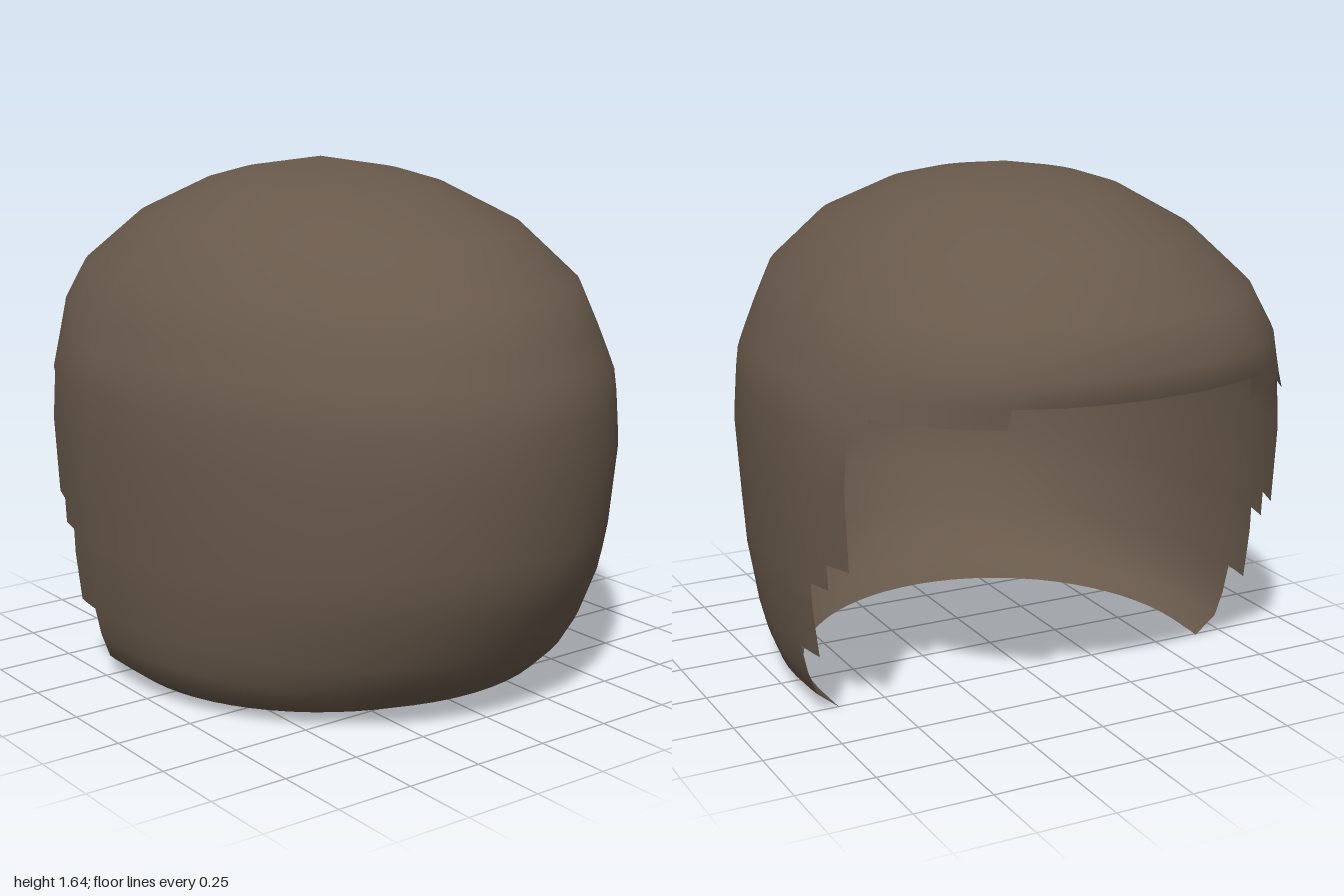
import * as THREE from 'three';

// Cross-sections from hem to crown: height, half width, forward reach, rearward reach, rear squareness
const ROWS = [
  [0.005, 0.66, 0.68, 0.88, 2.3], [0.06, 0.735, 0.79, 0.89, 2.3], [0.14, 0.765, 0.88, 0.89, 2.3],
  [0.23, 0.785, 0.945, 0.89, 2.3], [0.39, 0.805, 1.025, 0.89, 2.3], [0.47, 0.808, 1.05, 0.89, 2.3],
  [0.55, 0.812, 1.07, 0.89, 2.3], [0.8, 0.825, 1.1, 0.9, 2.3], [0.95, 0.814, 1.09, 0.9, 2.3],
  [1.02, 0.806, 1.08, 0.87, 2.3], [1.08, 0.785, 1.055, 0.88, 2.3], [1.16, 0.755, 1.02, 0.9, 2.3],
  [1.29, 0.7, 0.96, 0.84, 2.2], [1.45, 0.55, 0.75, 0.66, 2], [1.56, 0.36, 0.46, 0.4, 2],
  [1.595, 0.25, 0.3, 0.27, 2], [1.638, 0, 0, 0, 2],
];
const CENTRE_Z = -0.1;

// Stepped face opening: cosine of the last kept angle, up to each height
const CUTS = [[0.23, -0.139], [0.47, -0.254], [0.55, -0.347], [0.95, -0.451], [1.02, -0.539], [1.08, -0.893]];

// Column angles from the middle of the closed side, including every step of the opening
function columnAngles() {
  const cuts = CUTS.map(([, c]) => Math.acos(c));
  const half = [...cuts];
  for (let i = 1; i < 32; i++) {
    const t = (i / 32) * Math.PI;
    if (cuts.every((c) => Math.abs(c - t) > 0.04)) half.push(t);
  }
  half.sort((a, b) => a - b);
  return [0, ...half, Math.PI, ...half.map((t) => -t).reverse()];
}

function hairGeometry() {
  const angles = columnAngles();
  const n = angles.length;
  const positions = [];
  const index = [];
  ROWS.forEach(([y, width, front, back, power], r) => {
    for (const t of angles) {
      const c = Math.cos(t), s = Math.sin(t);
      const e = c < 0 ? 2 / power : 1;
      const x = width * Math.sign(s) * Math.abs(s) ** e;
      const z = CENTRE_Z + (c < 0 ? -back * (-c) ** e : front * c);
      // the hem rises slightly on the closed side
      positions.push(x, r === 0 ? Math.max(0, 0.005 + 0.018 * z) : y, z);
    }
  });
  for (let r = 0; r < ROWS.length - 1; r++) {
    const cut = CUTS.find(([top]) => ROWS[r + 1][0] <= top + 1e-6);
    const limit = cut ? Math.acos(cut[1]) + 1e-6 : Infinity;
    for (let i = 0; i < n; i++) {
      const j = (i + 1) % n;
      if (Math.abs(angles[i]) > limit || Math.abs(angles[j]) > limit) continue;
      const a = r * n + i, b = r * n + j, c = a + n, d = b + n;
      index.push(a, b, d);
      if (r < ROWS.length - 2) index.push(a, d, c);
    }
  }
  // share one crown vertex so the top shades smoothly
  const crown = (ROWS.length - 1) * n;
  const geometry = new THREE.BufferGeometry();
  geometry.setAttribute('position', new THREE.Float32BufferAttribute(positions, 3));
  geometry.setIndex(index.map((v) => Math.min(v, crown)));
  geometry.computeVertexNormals();
  return geometry;
}

export function createModel() {
  const group = new THREE.Group();
  group.name = 'hair';
  const brown = new THREE.MeshStandardMaterial({ color: 0x68594b, side: THREE.DoubleSide });
  brown.name = 'hairBrown';
  const shell = new THREE.Mesh(hairGeometry(), brown);
  shell.name = 'hairShell';
  group.add(shell);
  return group;
}
